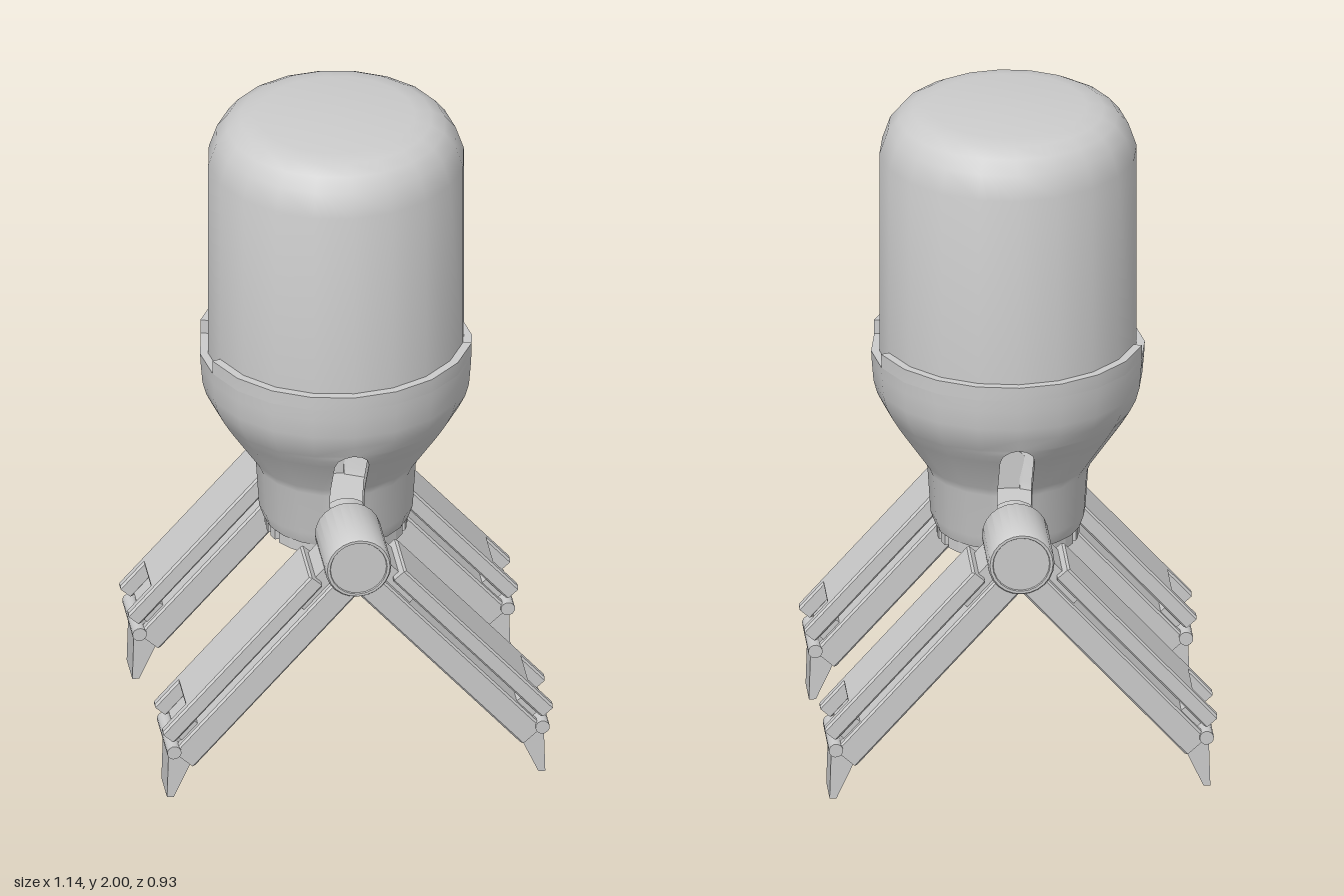
import * as THREE from 'three';
import { mergeGeometries, toCreasedNormals } from 'three/addons/utils/BufferGeometryUtils.js';

const SIDES = 20;
const STEP = (Math.PI * 2) / SIDES;
const PIVOT_Y = 0.745;
const material = new THREE.MeshStandardMaterial({ color: 0xcccccc });

function add(parent, name, geometry, x = 0, y = 0, z = 0) {
  const mesh = new THREE.Mesh(geometry, material);
  mesh.name = name;
  mesh.position.set(x, y, z);
  parent.add(mesh);
  return mesh;
}

function lathe(points, segments = SIDES) {
  const geo = new THREE.LatheGeometry(points.map(([r, y]) => new THREE.Vector2(r, y)), segments);
  return toCreasedNormals(geo, 0.7);
}

// Walled sector of revolution. rows: [y, outer radius, inner radius, half gap at both ends]
function shell(rows, start, count) {
  const section = [
    ...rows.map(([y, r, , gap]) => [y, r, gap]),
    ...rows.slice().reverse().map(([y, , r, gap]) => [y, r, gap]),
  ];
  const n = section.length;
  const pos = [];
  const index = [];
  for (let i = 0; i <= count; i++) {
    for (const [y, r, gap] of section) {
      let a = start + i * STEP;
      if (i === 0) a += Math.asin(gap / r);
      if (i === count) a -= Math.asin(gap / r);
      pos.push(r * Math.sin(a), y, r * Math.cos(a));
    }
  }
  const quad = (a, b, c, d) => index.push(a, b, c, a, c, d);
  for (let i = 0; i < count; i++) {
    for (let k = 0; k < n; k++) {
      const k2 = (k + 1) % n;
      quad(i * n + k, (i + 1) * n + k, (i + 1) * n + k2, i * n + k2);
    }
  }
  // End walls
  const e = count * n;
  for (let k = 0; k < rows.length - 1; k++) {
    const inner = n - 1 - k;
    quad(inner, k, k + 1, inner - 1);
    quad(e + k, e + inner, e + inner - 1, e + k + 1);
  }
  const geo = new THREE.BufferGeometry();
  geo.setAttribute('position', new THREE.Float32BufferAttribute(pos, 3));
  geo.setIndex(index);
  return geo;
}

function polygon(points) {
  return new THREE.Shape(points.map(([x, y]) => new THREE.Vector2(x, y)));
}

// Bar lying along x with a notch in its outer end, centred on z
function forkedBar(x0, x1, notchX, y0, y1) {
  const b = 0.006;
  const w = 0.098 - b;
  const n = 0.067 + b;
  const shape = polygon([
    [x0 + b, -w], [x1 - b, -w], [x1 - b, -n], [notchX - b, -n],
    [notchX - b, n], [x1 - b, n], [x1 - b, w], [x0 + b, w],
  ]);
  const geo = new THREE.ExtrudeGeometry(shape, {
    depth: y1 - y0 - 2 * b, bevelEnabled: true, bevelSize: b, bevelThickness: b, bevelSegments: 1,
  });
  return geo.rotateX(Math.PI / 2).translate(0, y1 - b, 0);
}

function makeLeg() {
  const leg = new THREE.Group();
  leg.name = 'leg';
  const arm = new THREE.Group();
  arm.name = 'arm';
  arm.rotation.z = -0.841;
  leg.add(arm);

  add(arm, 'upperBar', forkedBar(0.11, 0.765, 0.66, 0.038, 0.088));
  add(arm, 'lowerBar', forkedBar(0.05, 0.79, 0.745, -0.061, 0.02));
  add(arm, 'innerSpacer', new THREE.BoxGeometry(0.14, 0.06, 0.15), 0.14, 0.035, 0);
  add(arm, 'outerSpacer', new THREE.BoxGeometry(0.07, 0.03, 0.16), 0.715, 0.028, 0);

  // Hinge pin with foot claw
  const pin = new THREE.CylinderGeometry(0.021, 0.021, 0.212, 12).rotateX(Math.PI / 2);
  add(arm, 'footPin', pin, 0.787, 0.021, 0);
  const claw = polygon([[0.535, 0], [0.555, 0], [0.55, 0.165], [0.525, 0.185], [0.47, 0.13], [0.487, 0.105]]);
  const foot = new THREE.ExtrudeGeometry(claw, { depth: 0.116, bevelEnabled: false });
  add(leg, 'foot', foot, 0, -PIVOT_Y, -0.058);
  return leg;
}

export function createModel() {
  const model = new THREE.Group();
  model.name = 'tankOnLegs';

  // Domed tank
  add(model, 'tank', lathe([
    [0, 1.2], [0.375, 1.2], [0.375, 1.86], [0.351, 1.93], [0.32, 1.968],
    [0.28, 1.99], [0.23, 1.999], [0, 2],
  ]));

  // Hollow funnel, slotted at front and back
  const funnelRows = [
    [0.68, 0.212, 0.182, 0.05], [0.72, 0.226, 0.196, 0.05], [0.86, 0.235, 0.205, 0.05],
    [0.885, 0.245, 0.212, 0.05], [1.01, 0.33, 0.297, 0.05], [1.035, 0.346, 0.313, 0.043],
    [1.052, 0.356, 0.323, 0.025], [1.06, 0.361, 0.328, 0], [1.1, 0.381, 0.345, 0],
    [1.14, 0.392, 0.355, 0], [1.2, 0.397, 0.36, 0], [1.235, 0.399, 0.362, 0],
  ];
  const funnel = mergeGeometries([0, Math.PI].map((a) => shell(funnelRows, a, SIDES / 2)));
  add(model, 'funnel', toCreasedNormals(funnel, 0.6));

  // Raised rim, notched on both sides
  const rimRows = [[1.235, 0.399, 0.37, 0], [1.278, 0.4, 0.37, 0]];
  const rim = mergeGeometries([6, 16].map((i) => shell(rimRows, i * STEP, 8)));
  add(model, 'rim', toCreasedNormals(rim, 0.6));

  // Slatted grille under the funnel
  add(model, 'funnelFloor', new THREE.CylinderGeometry(0.2, 0.2, 0.012, SIDES), 0, 0.692, 0);
  const R = 0.207;
  const slits = [-0.09, -0.045, 0, 0.045, 0.09];
  for (let i = 0; i <= slits.length; i++) {
    const a = i === 0 ? -Math.PI / 2 : Math.asin((slits[i - 1] + 0.01) / R);
    const b = i === slits.length ? Math.PI / 2 : Math.asin((slits[i] - 0.01) / R);
    const edge = [];
    for (let j = 0; j <= 5; j++) {
      const t = a + ((b - a) * j) / 5;
      edge.push([R * Math.cos(t), R * Math.sin(t)]);
    }
    const mirrored = edge.map(([x, z]) => [-x, z]).reverse();
    const slat = new THREE.ExtrudeGeometry(polygon([...edge, ...mirrored]), { depth: 0.045, bevelEnabled: false });
    add(model, 'grilleSlat', slat.rotateX(Math.PI / 2), 0, 0.69, 0);
  }

  // Pivot and a pair of legs at front and back
  for (const side of [1, -1]) {
    const mount = new THREE.Group();
    mount.name = side > 0 ? 'frontLegs' : 'backLegs';
    mount.position.set(0, PIVOT_Y, 0);
    mount.rotation.y = side > 0 ? 0 : Math.PI;
    model.add(mount);
    const pivot = lathe([
      [0, 0.19], [0.084, 0.19], [0.084, 0.237], [0.092, 0.237], [0.097, 0.243],
      [0.097, 0.456], [0.092, 0.464], [0.084, 0.464], [0.082, 0.46], [0, 0.46],
    ], 24).rotateX(Math.PI / 2);
    add(mount, 'pivot', pivot);
    for (const turn of [0, Math.PI]) {
      const leg = makeLeg();
      leg.position.z = 0.355;
      leg.rotation.y = turn;
      mount.add(leg);
    }
  }
  return model;
}
